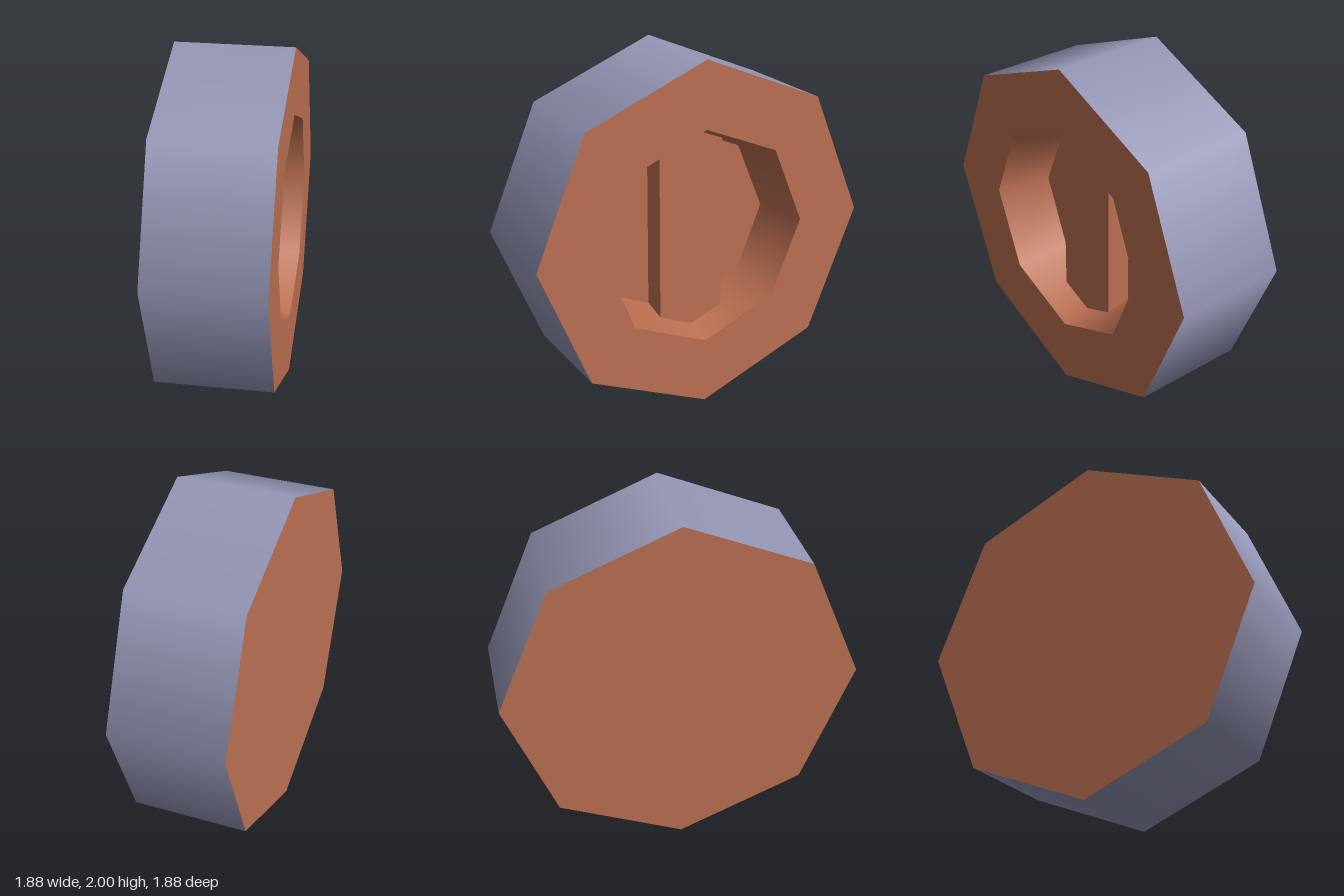
import * as THREE from 'three';

const SIDES = 8;
const HALF = 0.33;                          // half thickness of the disc
const RIM = 0.62;                           // pocket radius at the face
const FLOOR = 0.55, FLOOR_Z = 0.02;         // pocket floor radius and position
const GRIP_Z = 0.165, GRIP_HALF = 0.197;    // grip bar front and half width

export function createModel() {
  const steel = new THREE.MeshStandardMaterial({ color: 0x9698b8 });
  steel.name = 'blueGrey';
  const clay = new THREE.MeshStandardMaterial({ color: 0xbc7052 });
  clay.name = 'brown';

  const model = new THREE.Group();
  model.name = 'octagonalKnob';
  const body = new THREE.Group();
  body.name = 'body';
  body.position.y = 1;
  body.rotation.y = Math.PI / 4;
  model.add(body);

  const add = (name, geometry, material) => {
    const mesh = new THREE.Mesh(geometry, material);
    mesh.name = name;
    body.add(mesh);
    return mesh;
  };
  // smooth eight-sided wall along z; a profile running backwards faces inward
  const wall = (r0, z0, r1, z1) => new THREE.LatheGeometry(
    [new THREE.Vector2(r0, z0), new THREE.Vector2(r1, z1)], SIDES).rotateX(Math.PI / 2);

  // disc
  add('outerRim', wall(1, -HALF, 1, HALF), steel);
  add('backFace', new THREE.CircleGeometry(1, SIDES).rotateY(Math.PI), clay).position.z = -HALF;
  add('frontFace', new THREE.RingGeometry(RIM, 1, SIDES), clay).position.z = HALF;

  // tapered pocket
  add('pocketWall', wall(RIM, HALF, FLOOR, FLOOR_Z), clay);
  add('pocketFloor', new THREE.CircleGeometry(FLOOR, SIDES), clay).position.z = FLOOR_Z;

  // grip bar with pointed ends that follow the pocket wall
  const gripR = THREE.MathUtils.mapLinear(GRIP_Z, FLOOR_Z, HALF, FLOOR, RIM);
  const shoulder = gripR - GRIP_HALF * Math.tan(Math.PI / 8);
  const outline = new THREE.Shape([
    [0, -gripR], [GRIP_HALF, -shoulder], [GRIP_HALF, shoulder],
    [0, gripR], [-GRIP_HALF, shoulder], [-GRIP_HALF, -shoulder],
  ].map(([x, y]) => new THREE.Vector2(x, y)));
  const grip = new THREE.ExtrudeGeometry(outline, { depth: GRIP_Z - FLOOR_Z, bevelEnabled: false });
  const p = grip.attributes.position;
  for (let i = 0; i < p.count; i++) {
    if (p.getZ(i) < 0.01) p.setY(i, p.getY(i) - Math.sign(p.getY(i)) * (gripR - FLOOR));
  }
  grip.computeVertexNormals();
  add('gripBar', grip, clay).position.z = FLOOR_Z;

  return model;
}
